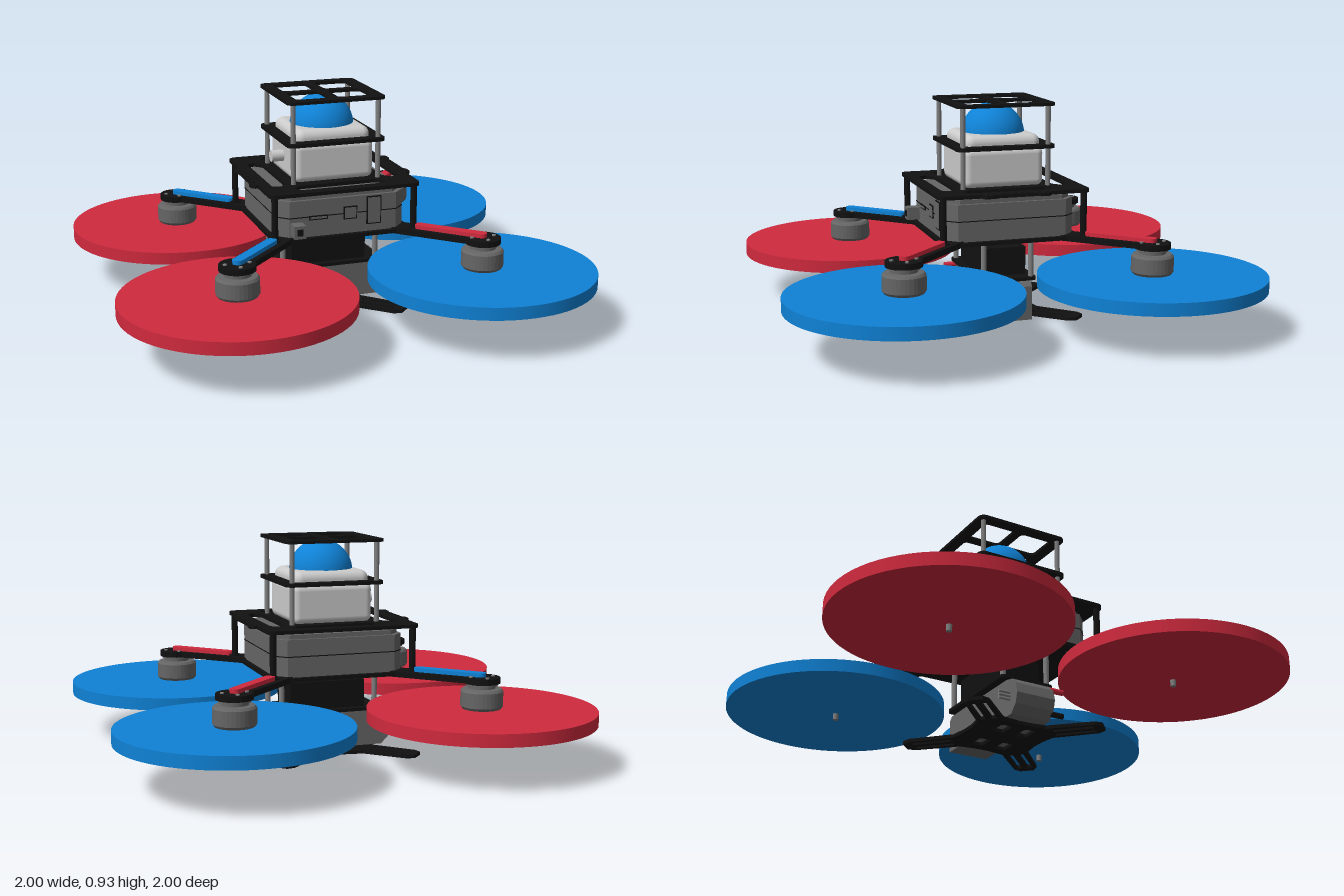
import * as THREE from 'three';
import { RoundedBoxGeometry } from 'three/addons/geometries/RoundedBoxGeometry.js';

const mat = (color) => new THREE.MeshStandardMaterial({ color });
const BLACK = mat(0x111111), GREY = mat(0x666666), LIGHT = mat(0xbebebe);
const RED = mat(0xd02a3e), BLUE = mat(0x0f82d6), STEEL = mat(0x808080);
const CORNERS = [[1, 1], [1, -1], [-1, 1], [-1, -1]];

export function createModel() {
  const model = new THREE.Group();
  model.name = 'quadcopter';

  const add = (name, geo, material, x = 0, y = 0, z = 0, parent = model) => {
    const m = new THREE.Mesh(geo, material);
    m.name = name;
    m.position.set(x, y, z);
    parent.add(m);
    return m;
  };
  const box = (w, h, d) => new THREE.BoxGeometry(w, h, d);
  const cyl = (r, h, n = 24) => new THREE.CylinderGeometry(r, r, h, n);

  // Rounded rectangle outline, used for plates and their cut-outs
  const rrect = (P, cx, cy, hw, hh, r) => {
    const p = new P();
    p.absarc(cx + hw - r, cy + hh - r, r, 0, Math.PI / 2);
    p.absarc(cx - hw + r, cy + hh - r, r, Math.PI / 2, Math.PI);
    p.absarc(cx - hw + r, cy - hh + r, r, Math.PI, Math.PI * 1.5);
    p.absarc(cx + hw - r, cy - hh + r, r, Math.PI * 1.5, Math.PI * 2);
    p.closePath();
    return p;
  };
  const poly = (P, pts) => new P(pts.map(([x, y]) => new THREE.Vector2(x, y)));
  const circle = (x, y, r) => new THREE.Path().absarc(x, y, r, 0, Math.PI * 2);
  // Flat plate lying in x/z, its underside at y = 0
  const slab = (shape, h) => new THREE.ExtrudeGeometry(shape, { depth: h, bevelEnabled: false, curveSegments: 8 })
    .rotateX(Math.PI / 2).translate(0, h, 0);

  // Lower frame plate
  add('lowerPlate', slab(rrect(THREE.Shape, 0, 0, 0.3, 0.3, 0.04), 0.016), BLACK, 0, 0.355);

  // Arms with motors and rotor discs
  const L = Math.hypot(0.525, 0.525);
  for (const [sx, sz] of CORNERS) {
    const arm = new THREE.Group();
    arm.name = 'armAssembly';
    arm.rotation.y = Math.atan2(-sz, sx);
    model.add(arm);
    const beam = new THREE.Shape();
    beam.moveTo(0.3, -0.048);
    beam.lineTo(L - 0.058, -0.048);
    beam.absarc(L, 0, 0.075, -2.45, 2.45);
    beam.lineTo(0.3, 0.048);
    beam.closePath();
    add('arm', slab(beam, 0.024), BLACK, 0, 0.351, 0, arm);
    add('armStrip', slab(rrect(THREE.Shape, 0.6, 0, 0.158, 0.022, 0.02), 0.018), sx > 0 ? RED : BLUE, 0, 0.374, 0, arm);
    for (let i = 0; i < 4; i++) {
      const a = i * Math.PI / 2 + Math.PI / 4;
      add('motorScrew', cyl(0.008, 0.006, 10), STEEL, L + 0.05 * Math.cos(a), 0.377, 0.05 * Math.sin(a), arm);
    }
    const bell = [[0, 0.245], [0.08, 0.245], [0.088, 0.256], [0.088, 0.318], [0.08, 0.328],
      [0.055, 0.33], [0.055, 0.34], [0.065, 0.342], [0.065, 0.352], [0, 0.352]];
    const motorGeo = new THREE.LatheGeometry(bell.map(([r, y]) => new THREE.Vector2(r, y)), 32).toNonIndexed();
    motorGeo.computeVertexNormals();
    add('motor', motorGeo, GREY, L, 0, 0, arm);
    add('motorShaft', cyl(0.012, 0.1, 12), STEEL, L, 0.215, 0, arm);
    add('rotorDisc', cyl(0.475, 0.053, 72), sx > 0 ? BLUE : RED, L, 0.2185, 0, arm);
    // Posts between the frame plates and under the frame
    add('frameStandoff', cyl(0.014, 0.2, 12), BLACK, sx * 0.305, 0.465, sz * 0.305);
    add('standoffFoot', cyl(0.026, 0.016, 12), BLACK, sx * 0.305, 0.372, sz * 0.305);
    add('batteryPost', cyl(0.012, 0.17, 12), STEEL, sx * 0.21, 0.27, sz * 0.105);
    add('cagePost', cyl(0.011, 0.35, 12), STEEL, sx * 0.187, 0.745, sz * 0.187);
  }

  // Electronics housing with chamfered corners and sloping shoulders
  const a = 0.28, b = 0.235;
  const octagon = (k) => poly(THREE.Shape, [[a, -b], [a, b], [b, a], [-b, a], [-a, b], [-a, -b], [-b, -a], [b, -a]]
    .map(([x, y]) => [x * k, y * k]));
  add('housing', slab(octagon(1), 0.157), GREY, 0, 0.371);
  add('housingLid', slab(octagon(0.95), 0.018), GREY, 0, 0.528);
  add('housingSeam', slab(octagon(1.005), 0.004), BLACK, 0, 0.455);
  add('sidePort', box(0.05, 0.055, 0.06), GREY, -0.205, 0.41, 0.305);
  add('portOpening', box(0.025, 0.028, 0.004), BLACK, -0.205, 0.41, 0.335);
  for (const [x, y, w, h] of [[0.03, 0.46, 0.06, 0.055], [0.135, 0.462, 0.065, 0.12], [-0.11, 0.452, 0.08, 0.018]]) {
    add('portFrame', box(w, h, 0.008), BLACK, x, y, 0.281);
    add('port', box(w - 0.01, h - 0.01, 0.01), GREY, x, y, 0.282);
  }

  // Upper frame plate with drilled side ears and tapered windows
  const top = rrect(THREE.Shape, 0, 0, 0.329, 0.329, 0.03);
  for (let i = 0; i < 4; i++) {
    const c = Math.round(Math.cos(i * Math.PI / 2)), s = Math.round(Math.sin(i * Math.PI / 2));
    const w = [[0.215, -0.165], [0.245, -0.2], [0.28, -0.185], [0.28, 0.185], [0.245, 0.2], [0.215, 0.165]];
    top.holes.push(poly(THREE.Path, w.map(([x, y]) => [x * c - y * s, x * s + y * c])));
  }
  add('upperPlate', slab(top, 0.015), BLACK, 0, 0.56);
  for (const s of [1, -1]) {
    const ear = poly(THREE.Shape, [[0.3, -0.15], [0.34, -0.15], [0.355, -0.135], [0.355, -0.1], [0.345, -0.085],
      [0.345, 0.085], [0.355, 0.1], [0.355, 0.135], [0.34, 0.15], [0.3, 0.15]].map(([x, y]) => [x * s, y]));
    for (let i = -2; i <= 2; i++) ear.holes.push(circle(s * 0.335, i * 0.05, 0.007));
    add('plateEar', slab(ear, 0.014), BLACK, 0, 0.5605);
  }

  // Scanner: light body, domed cap, and side connector
  add('scannerBody', new RoundedBoxGeometry(0.35, 0.17, 0.35, 4, 0.03), LIGHT, 0, 0.655);
  add('scannerCap', new RoundedBoxGeometry(0.33, 0.08, 0.33, 4, 0.035), LIGHT, 0, 0.752);
  add('scannerDome', new THREE.SphereGeometry(0.137, 40, 20, 0, Math.PI * 2, 0, Math.PI / 2), BLUE, 0, 0.778);
  add('domeBase', cyl(0.137, 0.02, 40), BLUE, 0, 0.77);
  add('scannerConnector', cyl(0.025, 0.06, 16).rotateZ(Math.PI / 2), LIGHT, -0.198, 0.655);

  // Protective cage around the scanner
  const ring = rrect(THREE.Shape, 0, 0, 0.215, 0.215, 0.03);
  ring.holes.push(rrect(THREE.Path, 0, 0, 0.165, 0.165, 0.02));
  add('cageMiddlePlate', slab(ring, 0.015), BLACK, 0, 0.735);
  const roof = rrect(THREE.Shape, 0, 0, 0.215, 0.215, 0.03);
  for (const [sx, sz] of CORNERS) roof.holes.push(rrect(THREE.Path, sx * 0.092, sz * 0.092, 0.073, 0.073, 0.018));
  add('cageTopPlate', slab(roof, 0.013), BLACK, 0, 0.914);

  // Battery bay beneath the frame
  add('powerModule', box(0.335, 0.12, 0.19), BLACK, 0, 0.25);
  add('bayPlate', slab(rrect(THREE.Shape, 0, 0, 0.235, 0.125, 0.02), 0.014), BLACK, 0, 0.176);
  const pack = poly(THREE.Shape, [[-0.25, 0.015], [0.272, 0.015], [0.272, 0.16], [0.255, 0.176], [-0.21, 0.176],
    [-0.26, 0.165], [-0.285, 0.14], [-0.298, 0.095], [-0.285, 0.05]]);
  add('battery', new THREE.ExtrudeGeometry(pack, { depth: 0.18, bevelEnabled: false }), GREY, 0, 0, -0.09);
  const plug = (name, m, y) => add(name, cyl(0.012, 0.06, 12).rotateX(Math.PI / 2), m, -0.268, y, 0.115);
  plug('positivePlug', RED, 0.147);
  plug('negativePlug', BLACK, 0.042);
  for (const y of [0.08, 0.095, 0.11]) {
    add('balancePin', cyl(0.006, 0.055, 8).rotateX(Math.PI / 2), STEEL, -0.24, y, -0.115);
  }

  // Cross-shaped landing plate with slotted arms
  const foot = new THREE.Shape();
  const slots = [];
  for (let i = 0; i < 4; i++) {
    const ang = Math.PI / 4 + i * Math.PI / 2, c = Math.cos(ang), s = Math.sin(ang);
    const turn = ([x, y]) => [x * c - y * s, x * s + y * c];
    [[0.14, -0.1], [0.2, -0.055], [0.4, -0.05], [0.43, -0.03], [0.43, 0.03], [0.4, 0.05], [0.2, 0.055], [0.14, 0.1]]
      .map(turn).forEach(([x, y], j) => (i + j ? foot.lineTo(x, y) : foot.moveTo(x, y)));
    for (const k of [-1, 1]) {
      slots.push(poly(THREE.Path, [[0.22, k * 0.012], [0.39, k * 0.012], [0.39, k * 0.034], [0.22, k * 0.034]].map(turn)));
    }
    slots.push(rrect(THREE.Path, 0.09 * Math.sign(c), 0.055 * Math.sign(s), 0.04, 0.025, 0.01));
  }
  foot.closePath();
  foot.holes.push(...slots);
  add('landingPlate', slab(foot, 0.015), BLACK, -0.03, 0);

  return model;
}
